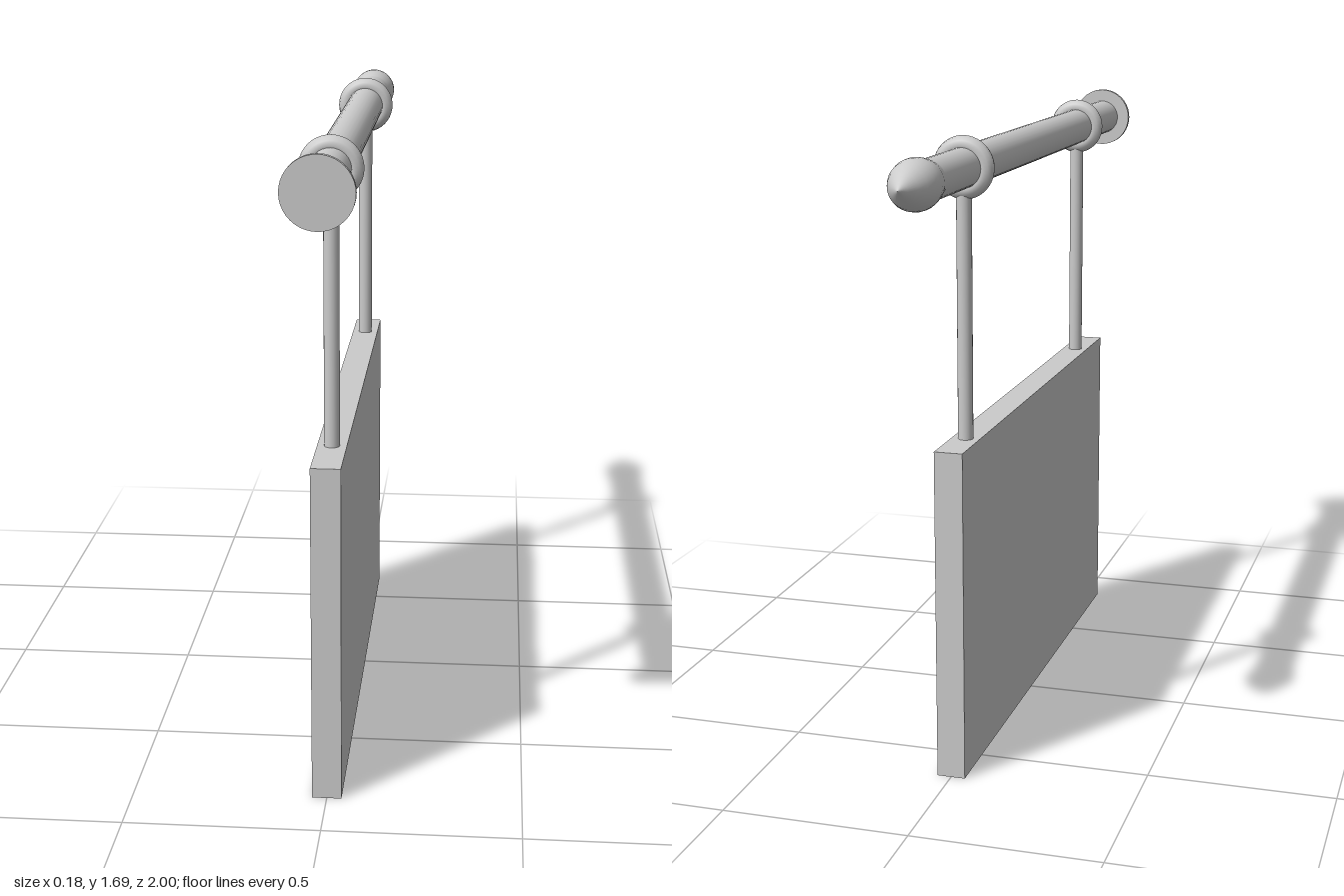
import * as THREE from 'three';

const POLE_Y = 1.6;

export function createModel() {
  const model = new THREE.Group();
  const material = new THREE.MeshStandardMaterial({ color: 0xcccccc });

  const add = (name, geometry, x, y, z) => {
    const mesh = new THREE.Mesh(geometry, material);
    mesh.name = name;
    mesh.position.set(x, y, z);
    model.add(mesh);
    return mesh;
  };

  // Horizontal pole and its round wall plate
  const pole = new THREE.CylinderGeometry(0.052, 0.052, 1.79, 32).rotateX(Math.PI / 2);
  add('pole', pole, 0, POLE_Y, 0.095);
  const plate = new THREE.CylinderGeometry(0.088, 0.088, 0.016, 40).rotateX(Math.PI / 2);
  add('wallPlate', plate, 0, POLE_Y, 0.992);

  // Spear-shaped finial, turned around the pole axis and pointing to -z
  const profile = [
    [0.052, 0], [0.056, 0.02], [0.061, 0.042], [0.064, 0.065], [0.0635, 0.085],
    [0.059, 0.108], [0.05, 0.132], [0.036, 0.155], [0.018, 0.18], [0, 0.2],
  ].map(([r, h]) => new THREE.Vector2(r, h));
  const finial = new THREE.LatheGeometry(profile, 32).rotateX(-Math.PI / 2);
  add('finial', finial, 0, POLE_Y, -0.8);

  // Rings around the pole, each holding a hanging rod
  const rodTop = POLE_Y - 0.055;
  const rodBottom = 0.88;
  for (const [side, z] of [['front', 0.652], ['back', -0.505]]) {
    add(side + 'Ring', new THREE.TorusGeometry(0.057, 0.024, 12, 40), 0, POLE_Y, z);
    const rod = new THREE.CylinderGeometry(0.02, 0.02, rodTop - rodBottom, 20);
    add(side + 'Rod', rod, 0, (rodTop + rodBottom) / 2, z);
  }

  // Hanging sign board
  add('board', new THREE.BoxGeometry(0.076, 0.893, 1.49), 0, 0.4465, 0.091);

  return model;
}
